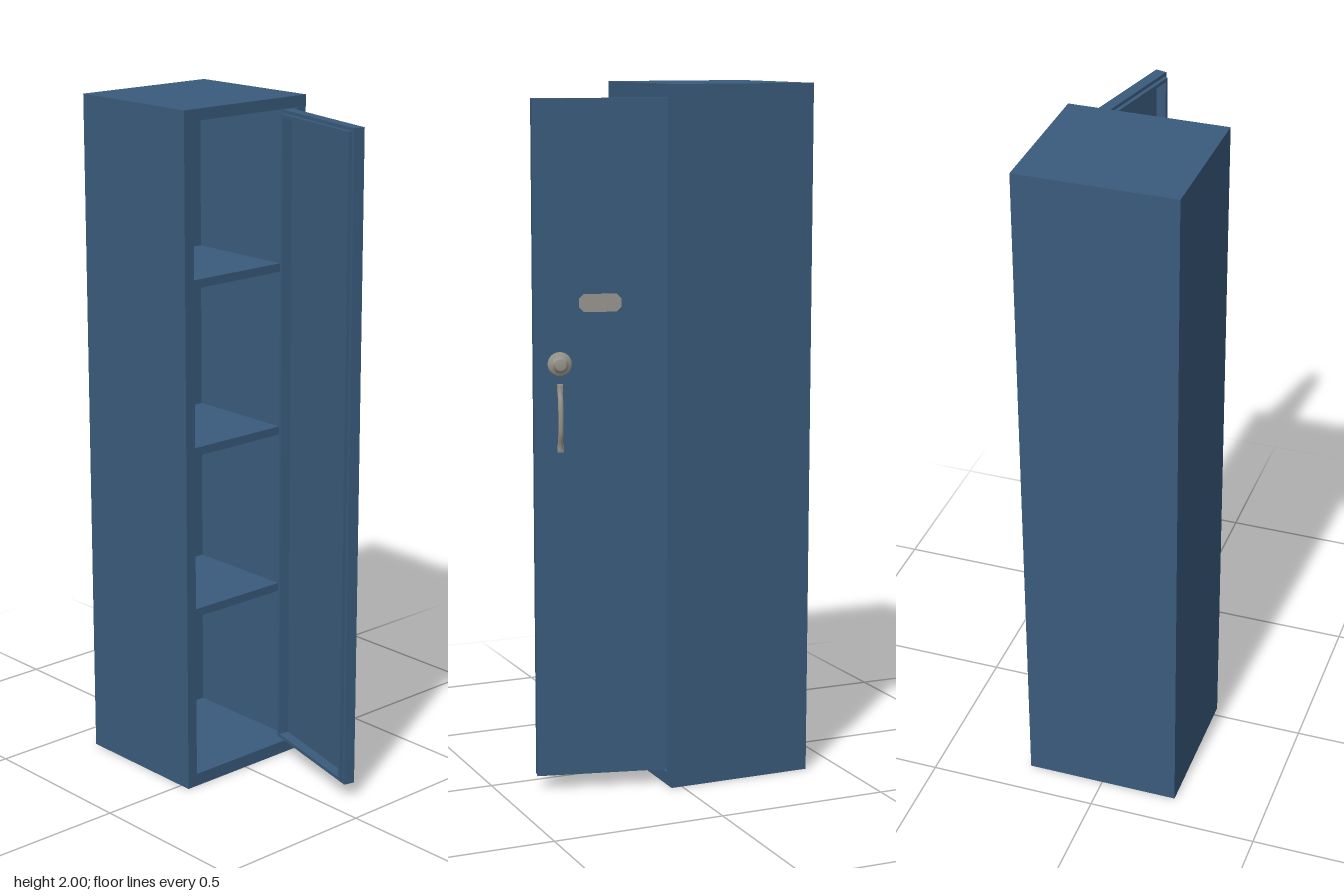
import * as THREE from 'three';

const blue = new THREE.MeshStandardMaterial({ color: 0x3a5b7c });
blue.name = 'blue steel';
const grey = new THREE.MeshStandardMaterial({ color: 0x98948d });
grey.name = 'grey metal';

function part(parent, name, geometry, material, x = 0, y = 0, z = 0) {
  const mesh = new THREE.Mesh(geometry, material);
  mesh.name = name;
  mesh.position.set(x, y, z);
  parent.add(mesh);
  return mesh;
}

// Rectangular ring between an outer and an inner rectangle, each [x0, y0, x1, y1]
function ring(outer, inner, depth) {
  const corners = ([x0, y0, x1, y1]) => [[x0, y0], [x1, y0], [x1, y1], [x0, y1]]
    .map(([x, y]) => new THREE.Vector2(x, y));
  const shape = new THREE.Shape(corners(outer));
  shape.holes.push(new THREE.Path(corners(inner).reverse()));
  return new THREE.ExtrudeGeometry(shape, { depth, bevelEnabled: false });
}

const inset = ([x0, y0, x1, y1], d) => [x0 + d, y0 + d, x1 - d, y1 - d];

export function createModel() {
  const model = new THREE.Group();
  model.name = 'locker';

  // Cabinet: open-fronted shell, back panel and three shelves
  const body = new THREE.Group();
  body.name = 'cabinet';
  model.add(body);
  part(body, 'shell', ring([-0.228, 0, 0.228, 2], [-0.195, 0.038, 0.195, 1.967], 0.413), blue, 0, 0, -0.38);
  part(body, 'backPanel', new THREE.BoxGeometry(0.456, 2, 0.02), blue, 0, 1, -0.39);
  for (const y of [0.51, 1.003, 1.495])
    part(body, 'shelf', new THREE.BoxGeometry(0.39, 0.025, 0.345), blue, 0, y, -0.2075);

  // Door: hinged at its local origin, outer face on local z = 0
  const door = new THREE.Group();
  door.name = 'door';
  door.position.set(0.19, 0, 0.02);
  door.rotation.y = 1.33;
  model.add(door);
  const edge = [-0.386, 0.044, 0, 1.962];
  const lip = inset(edge, 0.01);
  const recess = inset(edge, 0.02);
  part(door, 'doorPanel', new THREE.BoxGeometry(0.386, 1.918, 0.013), blue, -0.193, 1.003, -0.0065);
  part(door, 'doorFrame', ring(edge, recess, 0.02), blue, 0, 0, -0.033);
  part(door, 'doorLip', ring(lip, recess, 0.011), blue, 0, 0, -0.044);

  // Label plate with clipped corners
  const w = 0.059, h = 0.025, c = 0.013;
  const plate = new THREE.Shape([
    [-w + c, -h], [w - c, -h], [w, -h + c], [w, h - c],
    [w - c, h], [-w + c, h], [-w, h - c], [-w, -h + c],
  ].map(([x, y]) => new THREE.Vector2(x, y)));
  part(door, 'labelPlate', new THREE.ExtrudeGeometry(plate, { depth: 0.003, bevelEnabled: false }),
    grey, -0.2, 1.401, 0);

  // Round lock: domed rosette with a raised knob
  const profile = [[0.034, 0], [0.034, 0.004], [0.029, 0.009], [0.018, 0.011],
    [0.018, 0.021], [0.015, 0.024], [0, 0.024]].map(([r, y]) => new THREE.Vector2(r, y));
  const lock = part(door, 'lock', new THREE.LatheGeometry(profile, 24), grey, -0.314, 1.232, 0);
  lock.rotation.x = Math.PI / 2;

  // Bowed pull handle with two mounting feet
  const bow = new THREE.CatmullRomCurve3([
    [0, 0.985, 0.003], [0, 1.005, 0.006], [0, 1.035, 0.017], [0, 1.08, 0.021],
    [0, 1.125, 0.017], [0, 1.155, 0.006], [0, 1.175, 0.003],
  ].map((p) => new THREE.Vector3(...p)));
  const grip = new THREE.TubeGeometry(bow, 24, 0.005, 10);
  grip.scale(1.5, 1, 1);
  part(door, 'handleGrip', grip, grey, -0.314);
  for (const y of [0.995, 1.165])
    part(door, 'handleFoot', new THREE.BoxGeometry(0.016, 0.022, 0.007), grey, -0.314, y, 0.0035);

  return model;
}
